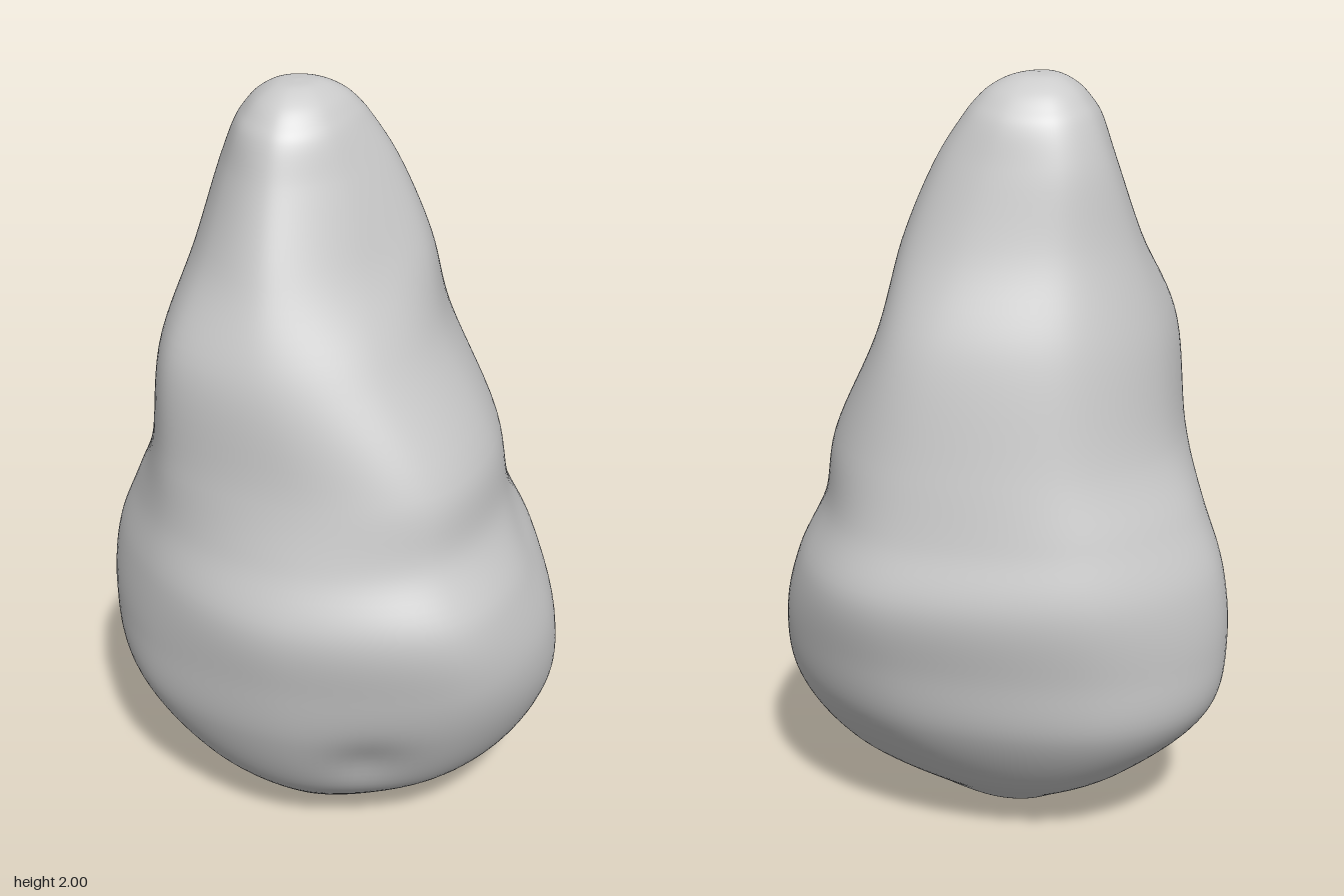
import * as THREE from 'three';

// Each level: height, x min/max, z min/max,
// z of the -x and +x extremes, x of the -z and +z extremes,
// corner fullness (+x+z, +x-z, -x-z, -x+z): 0 = flat chamfer, 1 = square corner
const LEVELS = [
  [0.08, -0.20, 0.28, -0.13, 0.225, 0.03, 0.0, 0.0, 0.0, 0.38, 0.40, 0.44, 0.44],
  [0.20, -0.385, 0.478, -0.268, 0.34, 0.02, -0.03, 0.02, 0.0, 0.38, 0.41, 0.44, 0.44],
  [0.40, -0.57, 0.59, -0.407, 0.435, 0.0, -0.03, 0.08, 0.0, 0.42, 0.42, 0.42, 0.40],
  [0.58, -0.60, 0.598, -0.46, 0.475, 0.0, 0.0, 0.12, 0.0, 0.48, 0.43, 0.40, 0.35],
  [0.77, -0.58, 0.54, -0.50, 0.497, 0.0, 0.0, 0.12, 0.0, 0.54, 0.41, 0.40, 0.32],
  [0.93, -0.517, 0.462, -0.46, 0.445, 0.0, 0.0, 0.10, 0.02, 0.50, 0.40, 0.42, 0.40],
  [1.10, -0.445, 0.425, -0.428, 0.405, 0.0, 0.0, 0.08, 0.04, 0.52, 0.44, 0.42, 0.55],
  [1.38, -0.40, 0.28, -0.37, 0.375, 0.02, -0.02, 0.04, -0.06, 0.42, 0.50, 0.40, 0.56],
  [1.60, -0.335, 0.225, -0.275, 0.295, 0.0, -0.05, 0.0, -0.08, 0.28, 0.50, 0.39, 0.40],
  [1.80, -0.28, 0.14, -0.208, 0.212, -0.03, -0.06, -0.04, -0.09, 0.32, 0.48, 0.42, 0.36],
  [1.90, -0.24, 0.08, -0.172, 0.172, -0.03, -0.05, -0.06, -0.09, 0.38, 0.44, 0.42, 0.40],
];

// Shallow hollows: centre, radius, depth
const DENTS = [
  [0.20, 0.32, 0.36, 0.13, 0.025],
  [0.49, 0.80, -0.06, 0.12, 0.012],
  [0.16, 1.55, 0.15, 0.15, 0.01],
];

// Eight guide points around one level: extremes and corners in turn
function sectionPoints([y, x0, x1, z0, z1, zL, zR, xB, xF, ...full]) {
  const extremes = [[x1, zR], [xF, z1], [x0, zL], [xB, z0]];
  const corners = [[x1, z1, full[0]], [x0, z1, full[3]], [x0, z0, full[2]], [x1, z0, full[1]]];
  const points = [];
  extremes.forEach(([x, z], i) => {
    const [nx, nz] = extremes[(i + 1) % 4];
    const [cx, cz, f] = corners[i];
    points.push(new THREE.Vector3(x, y, z));
    points.push(new THREE.Vector3(
      THREE.MathUtils.lerp((x + nx) / 2, cx, f), y,
      THREE.MathUtils.lerp((z + nz) / 2, cz, f)));
  });
  return points;
}

// Shrinks a level towards an end point along a power curve, so the end is round
const capSection = (section, end, scale, power) => section.map((p) => new THREE.Vector3(
  THREE.MathUtils.lerp(end.x, p.x, scale),
  THREE.MathUtils.lerp(end.y, p.y, scale ** power),
  THREE.MathUtils.lerp(end.z, p.z, scale)));

function boulderGeometry(rings = 130, segments = 112) {
  const levels = LEVELS.map(sectionPoints);
  const bottom = new THREE.Vector3(0.02, 0, 0.045);
  const top = new THREE.Vector3(-0.085, 2, -0.005);
  const sections = [
    ...[0.3, 0.65].map((s) => capSection(levels[0], bottom, s, 2)),
    ...levels,
    ...[0.86, 0.66, 0.35].map((s) => capSection(levels.at(-1), top, s, 2.6)),
  ];

  // Guide curves climb from the base to the tip
  const guides = Array.from({ length: 8 }, (_, k) =>
    new THREE.CatmullRomCurve3([bottom, ...sections.map((s) => s[k]), top], false, 'centripetal'));

  const positions = [bottom.x, bottom.y, bottom.z];
  const indices = [];
  const vertex = (i, j) => 1 + (i - 1) * segments + (j % segments);
  for (let i = 1; i < rings; i++) {
    const section = guides.map((g) => g.getPoint(i / rings));
    const ring = new THREE.CatmullRomCurve3(section, true, 'catmullrom', 0.5);
    for (let j = 0; j < segments; j++) {
      const p = ring.getPoint(j / segments);
      const inward = new THREE.Vector3(-p.x, 0, -p.z).normalize();
      for (const [x, y, z, radius, depth] of DENTS) {
        const d = p.distanceTo(new THREE.Vector3(x, y, z)) / radius;
        p.addScaledVector(inward, depth * Math.exp(-d * d * 1.5));
      }
      positions.push(p.x, p.y, p.z);
    }
  }
  const tip = positions.length / 3;
  positions.push(top.x, top.y, top.z);

  // Skin between rings, closed by a fan at each end
  for (let j = 0; j < segments; j++) {
    indices.push(0, vertex(1, j), vertex(1, j + 1));
    for (let i = 1; i < rings - 1; i++) {
      const a = vertex(i, j), b = vertex(i + 1, j), c = vertex(i + 1, j + 1), d = vertex(i, j + 1);
      indices.push(a, b, d, b, c, d);
    }
    indices.push(vertex(rings - 1, j), tip, vertex(rings - 1, j + 1));
  }

  const geometry = new THREE.BufferGeometry();
  geometry.setAttribute('position', new THREE.Float32BufferAttribute(positions, 3));
  geometry.setIndex(indices);
  geometry.computeVertexNormals();
  return geometry;
}

export function createModel() {
  const model = new THREE.Group();
  model.name = 'rock';
  const boulder = new THREE.Mesh(boulderGeometry(), new THREE.MeshStandardMaterial({ color: 0xcccccc }));
  boulder.name = 'boulder';
  model.add(boulder);
  return model;
}
